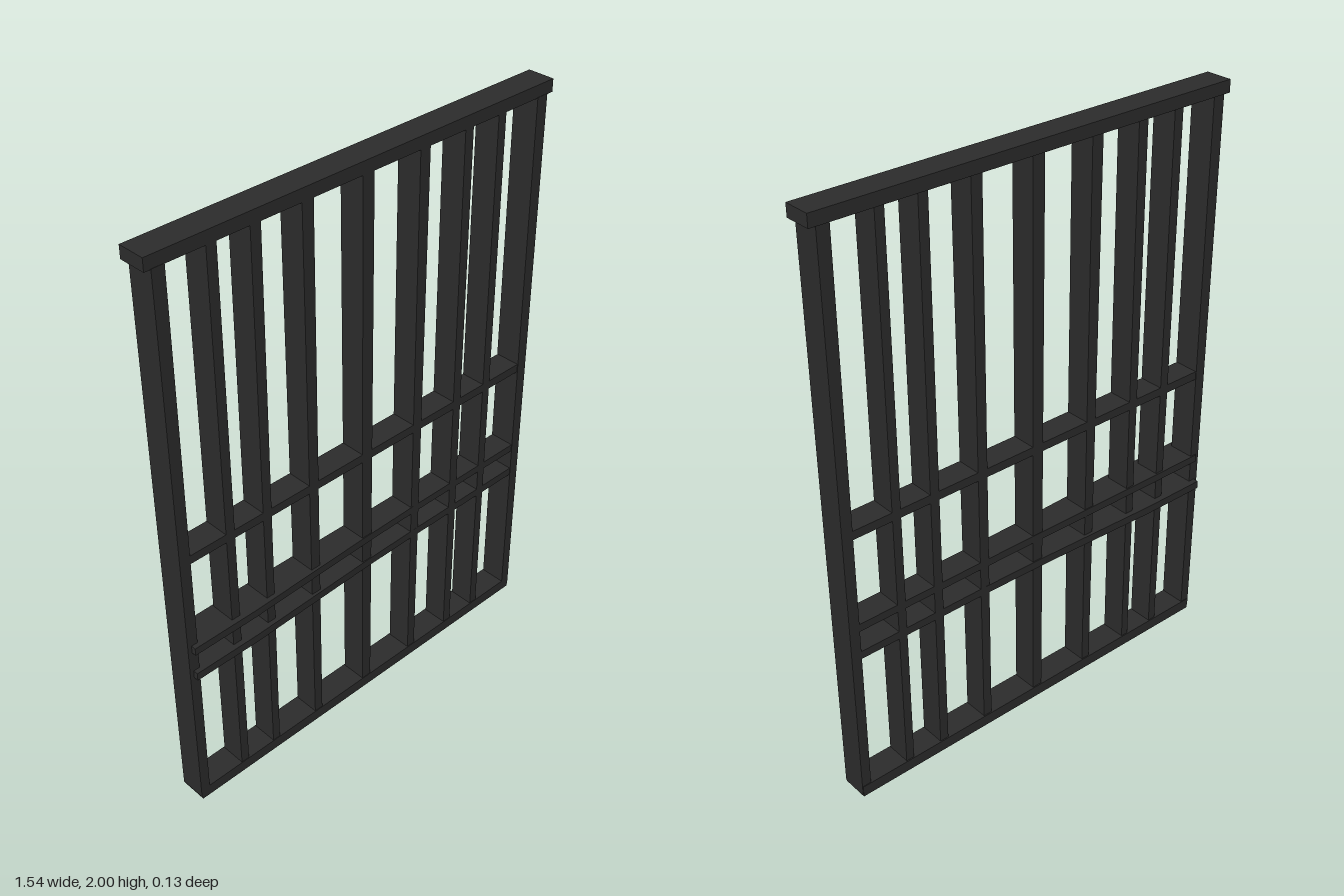
import * as THREE from 'three';

export function createModel() {
  const group = new THREE.Group();
  group.name = 'barredScreen';
  const darkIron = new THREE.MeshStandardMaterial({ color: 0x2c2c2c });
  darkIron.name = 'darkIron';

  // Box whose corners are moved by a rule
  function part(name, w, h, d, x, y, z, rule) {
    const geo = new THREE.BoxGeometry(w, h, d, rule ? 6 : 1, 1, 1);
    geo.translate(x, y, z);
    if (rule) {
      const p = geo.attributes.position;
      const v = new THREE.Vector3();
      for (let i = 0; i < p.count; i++) {
        rule(v.fromBufferAttribute(p, i));
        p.setXYZ(i, v.x, v.y, v.z);
      }
      geo.computeVertexNormals();
    }
    const mesh = new THREE.Mesh(geo, darkIron);
    mesh.name = name;
    group.add(mesh);
  }

  // Top beam and bottom sill
  part('topBeam', 1.54, 0.042, 0.094, 0, 1.979, -0.002);
  part('bottomSill', 1.47, 0.04, 0.094, 0, 0.02, -0.001);

  // Uprights, slightly uneven: bottom x, bottom width, top x, top width
  const uprights = [
    [-0.722, 0.034, -0.727, 0.043],
    [-0.552, 0.03, -0.556, 0.035],
    [-0.416, 0.028, -0.408, 0.037],
    [-0.225, 0.032, -0.225, 0.042],
    [0, 0.037, 0, 0.045],
    [0.22, 0.032, 0.224, 0.04],
    [0.405, 0.032, 0.406, 0.034],
    [0.545, 0.03, 0.548, 0.032],
    [0.72, 0.033, 0.724, 0.043],
  ];
  uprights.forEach(([xb, wb, xt, wt], i) => {
    const outer = i === 0 || i === uprights.length - 1;
    part(outer ? 'sidePost' : 'upright', 1, 1.95, outer ? 0.092 : 0.088, 0, 0.985, 0, (v) => {
      const t = (v.y - 0.01) / 1.95;
      v.x = THREE.MathUtils.lerp(xb, xt, t) + v.x * THREE.MathUtils.lerp(wb, wt, t);
    });
  });

  // Cross rails; the lower two widen towards the right-hand end
  part('middleRail', 1.43, 0.03, 0.088, 0, 0.993, 0);
  const flare = (front, back) => (v) => {
    const t = THREE.MathUtils.clamp((0.1 - v.x) / 0.6, 0, 1);
    v.z += v.z > 0 ? front * t : -back * t;
  };
  part('upperPairRail', 1.44, 0.027, 0.088, -0.008, 0.659, 0, flare(0.019, 0.006));
  part('lowerPairRail', 1.44, 0.028, 0.088, -0.008, 0.556, 0, flare(0.019, 0.022));

  return group;
}
